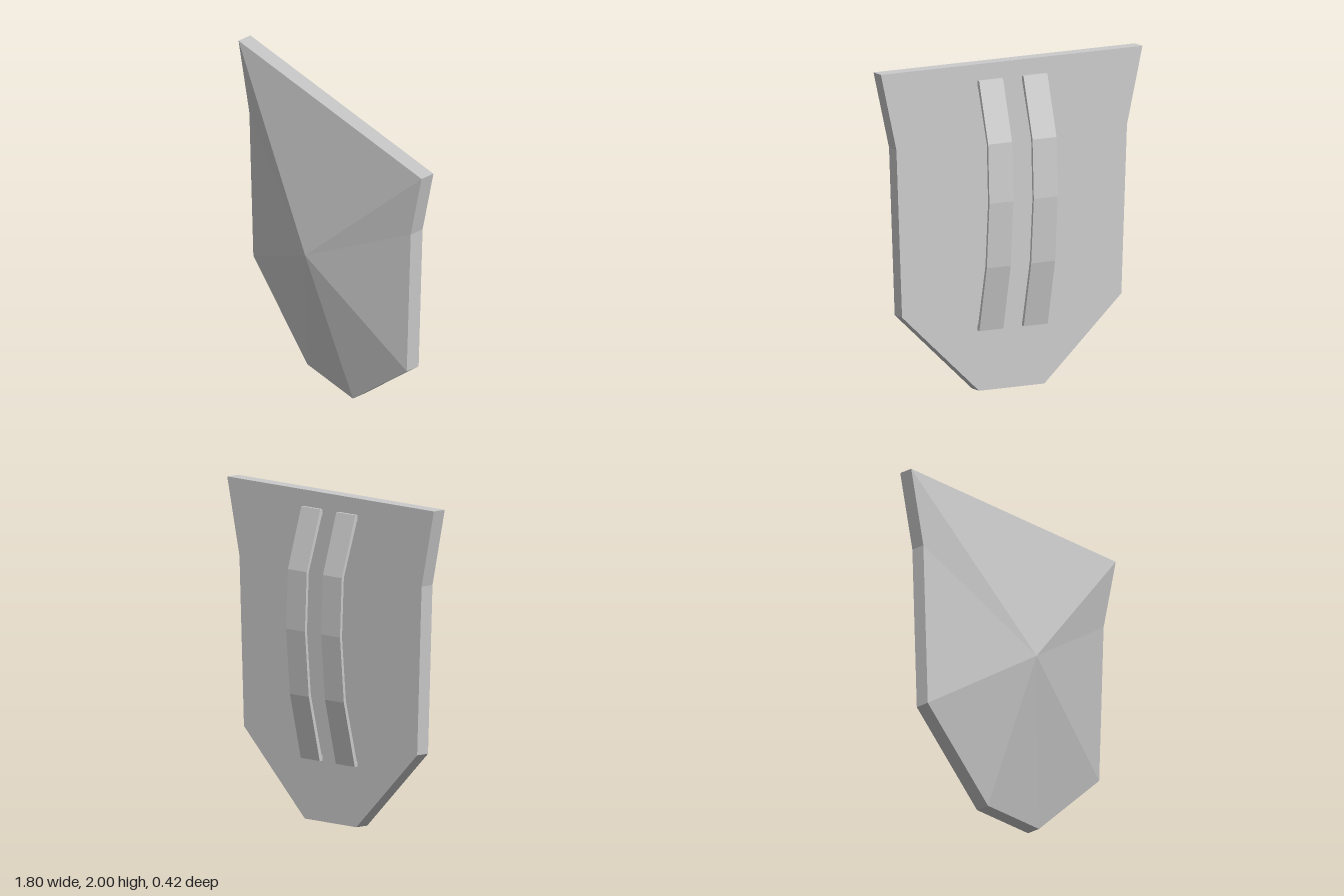
import * as THREE from 'three';

const material = new THREE.MeshStandardMaterial({ color: 0xcccccc, flatShading: true, side: THREE.DoubleSide });

// Half outline of the shield, from the top corner down to the foot
const HALF = [[0.902, 2], [0.795, 1.53], [0.756, 0.5], [0.225, 0]];
const FRONT_Z = 0.023, BACK_Z = -0.067;

// Pointed plate: a fan to the raised boss, a straight rim and a flat back
function createPlate() {
  const outline = [...HALF.map(([x, y]) => [-x, y]), ...[...HALF].reverse()];
  const apex = [0, 1.01, 0.212], backCentre = [0, 1.01, BACK_Z];
  const positions = [];
  const tri = (...corners) => corners.forEach((c) => positions.push(...c));
  outline.forEach((a, i) => {
    const b = outline[(i + 1) % outline.length];
    const aFront = [...a, FRONT_Z], bFront = [...b, FRONT_Z];
    const aBack = [...a, BACK_Z], bBack = [...b, BACK_Z];
    tri(apex, aFront, bFront);
    tri(aFront, aBack, bBack);
    tri(aFront, bBack, bFront);
    tri(backCentre, bBack, aBack);
  });
  const geometry = new THREE.BufferGeometry();
  geometry.setAttribute('position', new THREE.Float32BufferAttribute(positions, 3));
  geometry.computeVertexNormals();
  return new THREE.Mesh(geometry, material);
}

// Bowed arm strap: side profile as [z, y], extruded across its width
function createStrap(centreX) {
  const width = 0.165;
  const outer = [[BACK_Z, 1.9], [-0.086, 1.9], [-0.197, 1.53], [-0.212, 1.17], [-0.18, 0.77], [-0.09, 0.37], [BACK_Z, 0.37]];
  const inner = [[BACK_Z, 0.4], [-0.073, 0.4], [-0.163, 0.78], [-0.195, 1.17], [-0.18, 1.53], [-0.071, 1.865], [BACK_Z, 1.865]];
  const shape = new THREE.Shape([...outer, ...inner].map(([z, y]) => new THREE.Vector2(z, y)));
  const geometry = new THREE.ExtrudeGeometry(shape, { depth: width, bevelEnabled: false });
  geometry.rotateY(-Math.PI / 2);
  geometry.translate(centreX + width / 2, 0, 0);
  return new THREE.Mesh(geometry, material);
}

export function createModel() {
  const model = new THREE.Group();
  model.name = 'shield';

  const plate = createPlate();
  plate.name = 'plate';
  model.add(plate);

  // Pair of straps on the back
  for (const side of [-1, 1]) {
    const strap = createStrap(side * 0.153);
    strap.name = side > 0 ? 'leftStrap' : 'rightStrap';
    model.add(strap);
  }
  return model;
}
